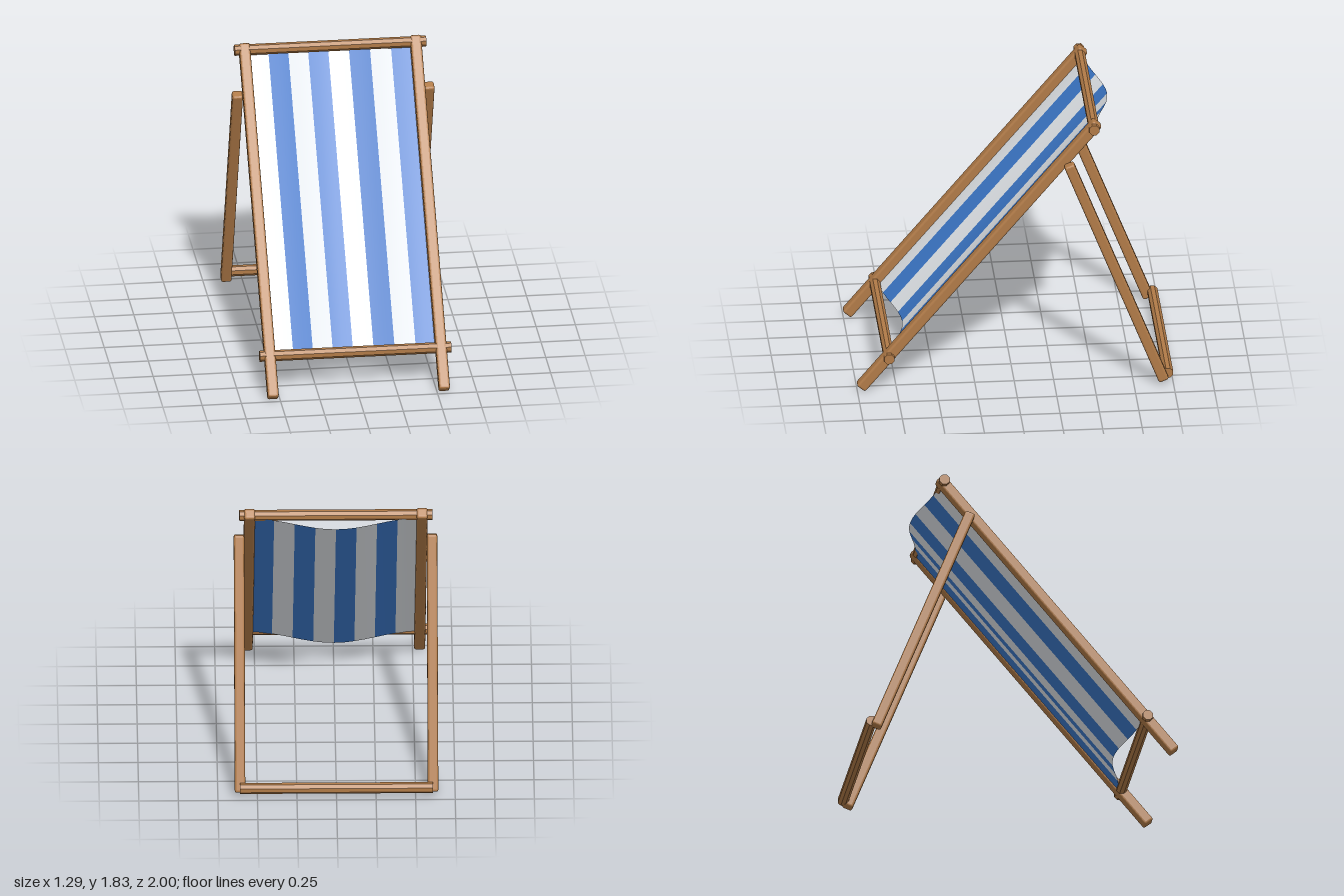
import * as THREE from 'three';
import { RoundedBoxGeometry } from 'three/addons/geometries/RoundedBoxGeometry.js';

function flat(name, color, side = THREE.FrontSide, flatShading = false) {
  const m = new THREE.MeshStandardMaterial({ color, side, flatShading });
  m.name = name;
  return m;
}

export function createModel() {
  const group = new THREE.Group();
  const wood = flat('wood', 0xb07a47, THREE.FrontSide, true);
  const white = flat('white canvas', 0xe0e4e8, THREE.DoubleSide);
  const blue = flat('blue canvas', 0x3b76c6, THREE.DoubleSide);

  // Softened square beam between two points [y, z] at a fixed x
  function beam(name, x, from, to, size) {
    const dy = to[0] - from[0], dz = to[1] - from[1];
    const mesh = new THREE.Mesh(
      new RoundedBoxGeometry(size, Math.hypot(dy, dz), size, 2, 0.014), wood);
    mesh.position.set(x, (from[0] + to[0]) / 2, (from[1] + to[1]) / 2);
    mesh.rotation.x = Math.atan2(dz, dy);
    mesh.name = name;
    group.add(mesh);
  }

  // Eight-sided rod running from side to side
  function crossbar(name, y, z) {
    const geo = new THREE.CylinderGeometry(0.035, 0.035, 1.22, 8);
    geo.rotateY(Math.PI / 8).rotateZ(Math.PI / 2);
    const mesh = new THREE.Mesh(geo, wood);
    mesh.position.set(0, y, z);
    mesh.name = name;
    group.add(mesh);
  }

  // Sloping side rails and the prop legs outside them
  for (const [side, s] of [['left', 1], ['right', -1]]) {
    beam(side + 'Rail', s * 0.545, [0.02, 0.978], [1.815, -0.525], 0.07);
    beam(side + 'PropLeg', s * 0.61, [0.03, -0.94], [1.557, -0.338], 0.067);
  }

  crossbar('topBar', 1.787, -0.5);
  crossbar('frontBar', 0.235, 0.8);
  crossbar('backBar', 0.072, -0.967);

  // Sagging canvas, one mesh per stripe
  const canvas = new THREE.Group();
  canvas.name = 'canvas';
  const stripes = 8, w = 0.13, half = stripes * w / 2;
  for (let i = 0; i < stripes; i++) {
    const geo = new THREE.PlaneGeometry(w, 1, 2, 1);
    geo.translate(-half + (i + 0.5) * w, 0, 0);
    const p = geo.attributes.position;
    for (let k = 0; k < p.count; k++) {
      const x = p.getX(k), t = p.getY(k) + 0.5;
      const sag = (1 + Math.cos(Math.PI * x / half)) / 2;
      p.setXYZ(k, x, 0.23 + 1.545 * t - 0.02 * sag, 0.775 - 1.3 * t - 0.105 * sag);
    }
    geo.computeVertexNormals();
    const mesh = new THREE.Mesh(geo, i % 2 ? blue : white);
    mesh.name = 'stripe' + (i + 1);
    canvas.add(mesh);
  }
  group.add(canvas);
  return group;
}
